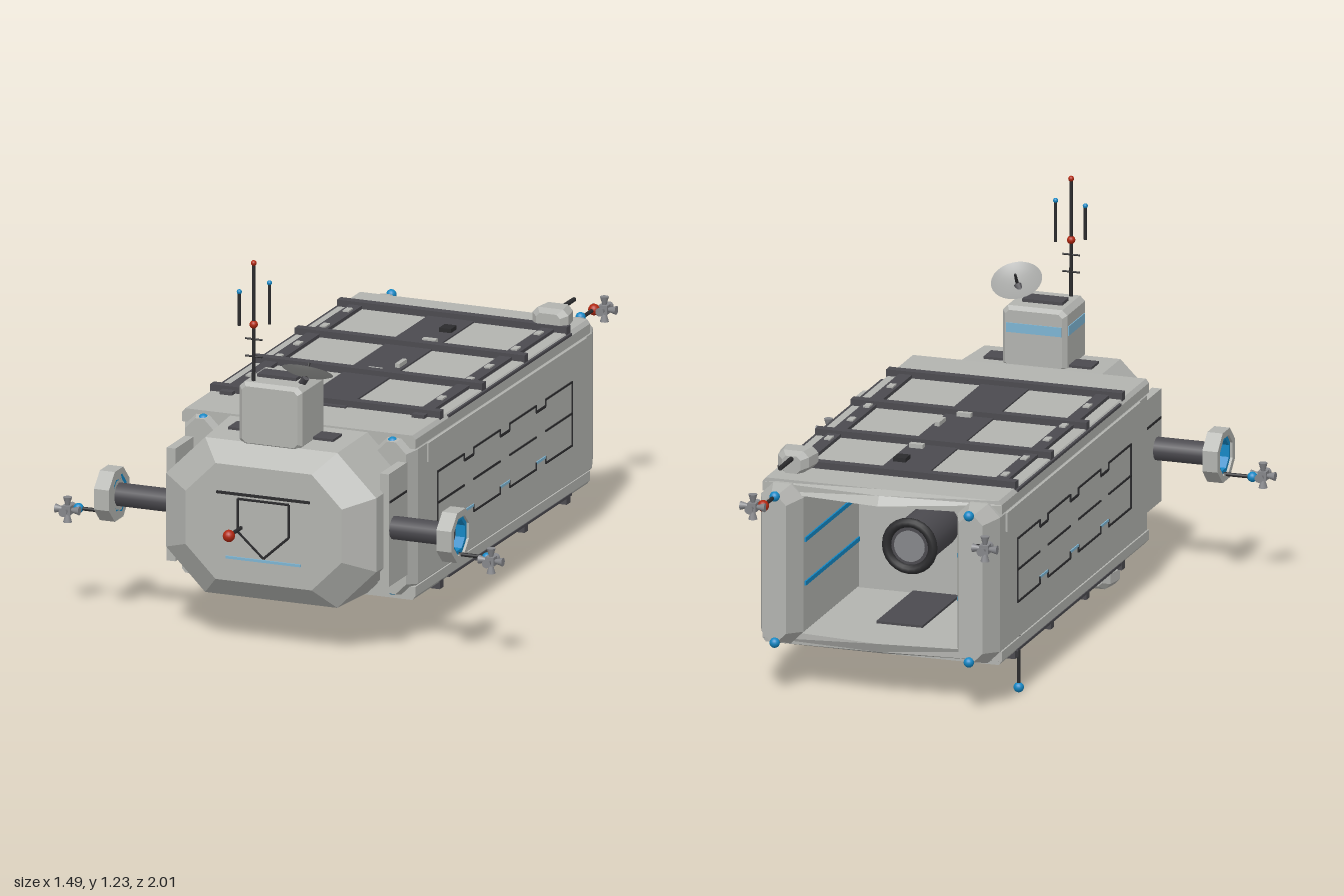
import * as THREE from 'three';

const mat = (name, color) => {
  const m = new THREE.MeshStandardMaterial({ color });
  m.name = name;
  return m;
};

// Joins planar rings of points; each ring runs anticlockwise seen from the first ring's end
function loft(rings) {
  const pos = [];
  const tri = (...p) => p.forEach(q => pos.push(...q));
  const n = rings[0].length;
  for (let k = 0; k < rings.length - 1; k++) {
    const a = rings[k], b = rings[k + 1];
    for (let i = 0; i < n; i++) {
      const j = (i + 1) % n;
      tri(a[i], b[i], a[j]);
      tri(a[j], b[i], b[j]);
    }
  }
  const last = rings[rings.length - 1];
  for (let i = 1; i < n - 1; i++) {
    tri(rings[0][0], rings[0][i], rings[0][i + 1]);
    tri(last[0], last[i + 1], last[i]);
  }
  const g = new THREE.BufferGeometry();
  g.setAttribute('position', new THREE.Float32BufferAttribute(pos, 3));
  g.computeVertexNormals();
  return g;
}

// Rectangle with cut corners, facing +z
const cutRect = (x0, x1, y0, y1, c, z) => [
  [x1, y0 + c], [x1, y1 - c], [x1 - c, y1], [x0 + c, y1],
  [x0, y1 - c], [x0, y0 + c], [x0 + c, y0], [x1 - c, y0]].map(p => [...p, z]);

export function createModel() {
  const root = new THREE.Group();
  root.name = 'cargoShuttle';
  const hull = mat('hullGrey', 0xb2b3af), dark = mat('darkGrey', 0x4b4a4f), line = mat('seamBlack', 0x2b2b2d);
  const blue = mat('signalBlue', 0x1487c4), pale = mat('paleBlue', 0x7db4d2), red = mat('signalRed', 0xb0260f);
  const steel = mat('steel', 0x85868a);

  const add = (name, geo, material, p = [0, 0, 0], parent = root) => {
    const m = new THREE.Mesh(geo, material);
    m.name = name;
    m.position.set(...p);
    parent.add(m);
    return m;
  };
  const box = (name, size, p, material, parent) => add(name, new THREE.BoxGeometry(...size), material, p, parent);
  const ball = (name, p, material, r = 0.016) => add(name, new THREE.SphereGeometry(r, 16, 12), material, p);
  const rod = (name, a, b, r0, material, r1 = r0, sides = 10, parent = root) => {
    const A = new THREE.Vector3(...a), d = new THREE.Vector3(...b).sub(A);
    const m = add(name, new THREE.CylinderGeometry(r1, r0, d.length(), sides), material, [0, 0, 0], parent);
    m.position.copy(A).addScaledVector(d, 0.5);
    m.quaternion.setFromUnitVectors(new THREE.Vector3(0, 1, 0), d.normalize());
    return m;
  };
  // Steering jets: a small core with flared nozzles on every side
  const jets = (p) => {
    const g = new THREE.Group();
    g.name = 'thrusterCluster';
    g.position.set(...p);
    root.add(g);
    box('jetCore', [0.028, 0.028, 0.028], [0, 0, 0], steel, g);
    for (const s of [-1, 1]) for (let k = 0; k < 3; k++) {
      const d = [0, 0, 0];
      d[k] = s;
      rod('nozzle', d.map(v => v * 0.012), d.map(v => v * 0.04), 0.006, steel, 0.014, 10, g);
    }
  };

  // Cabin with faceted nose
  add('cabin', loft([
    cutRect(-0.26, 0.26, 0.22, 0.59, 0.1, 0.885),
    cutRect(-0.35, 0.35, 0.155, 0.65, 0.13, 0.825),
    cutRect(-0.36, 0.36, 0.145, 0.66, 0.13, 0.58)]), hull);
  box('cabinRoofPanel', [0.35, 0.008, 0.07], [-0.005, 0.66, 0.705], dark);

  // Nose markings
  const nz = 0.887;
  box('noseSeam', [0.31, 0.008, 0.008], [0, 0.5, nz], line);
  box('noseStripe', [0.25, 0.008, 0.006], [0, 0.295, nz], pale);
  const shield = [[-0.085, 0.485], [0.085, 0.485], [0.085, 0.38], [0, 0.303], [-0.085, 0.38]];
  shield.forEach((a, i) => rod('noseOutline', [...a, nz], [...shield[(i + 1) % 5], nz], 0.004, line, 0.004, 4));
  rod('noseProbe', [-0.075, 0.393, 0.88], [-0.075, 0.393, 0.98], 0.006, line);
  ball('noseProbeTip', [-0.075, 0.393, 0.98], red, 0.019);

  // Roof and floor decks share one shape, the floor turned over
  for (const turn of [0, Math.PI]) {
    const deck = new THREE.Group();
    deck.name = turn ? 'floorDeck' : 'roofDeck';
    deck.position.y = 0.4025;
    deck.rotation.z = turn;
    root.add(deck);
    const outline = (y, x, peak) => [[x, 0.61], [x, -0.755], [0, peak], [-x, -0.755], [-x, 0.61]].map(q => [q[0], y, q[1]]);
    add('deckPlate', loft([outline(0.2625, 0.378, -0.756), outline(0.25, 0.388, -0.785), outline(0.22, 0.388, -0.8)]), hull, [0, 0, 0], deck);
    for (const z of [-0.6, -0.27, 0.06, 0.39]) box('deckRib', [0.765, 0.035, 0.03], [0, 0.266, z], dark, deck);
    for (const s of [-1, 1]) box('deckEdge', [0.008, 0.008, 0.96], [s * 0.386, 0.255, -0.13], dark, deck);
  }
  box('roofWalkway', [0.155, 0.008, 1.02], [-0.003, 0.666, -0.09], dark);
  for (const [x, z, w, d, m] of [[0.04, -0.46, 0.04, 0.045, line], [0.04, -0.32, 0.045, 0.02, hull],
    [0.055, -0.06, 0.015, 0.06, hull], [0.01, 0.05, 0.045, 0.045, hull]])
    box('roofFitting', [w, 0.018, d], [x, 0.674, z], m);

  for (const s of [-1, 1]) {
    box('roofRail', [0.042, 0.014, 1.03], [s * 0.32, 0.669, -0.085], dark);
    for (const z of [-0.52, -0.34, -0.13, 0.02, 0.24]) box('railFitting', [0.02, 0.012, 0.035], [s * 0.318, 0.675, z], hull);

    // Thick side wall tapering at the stern
    const [a, b] = s > 0 ? [0.25, 0.388] : [-0.388, -0.25];
    add('sideWall', loft([
      cutRect(a + 0.02, b - 0.02, 0.16, 0.645, 0.035, 0.635),
      cutRect(a, b, 0.148, 0.657, 0.04, 0.59),
      cutRect(a, b, 0.148, 0.657, 0.04, -0.77),
      cutRect(a + 0.03, b - 0.03, 0.17, 0.64, 0.03, -0.848)]), hull);
    const X = s * 0.388;
    box('upperSideBar', [0.012, 0.06, 1.24], [X, 0.588, -0.1], hull);
    // Side panel seams
    const seam = (h, w, y, z, m = line) => box('panelSeam', [0.007, h, w], [X, y, z], m);
    for (let k = 0; k < 4; k++) {
      const z = 0.335 - 0.281 * k;
      for (const y of [0.505, 0.405, 0.302]) seam(0.006, 0.208, y, z);
      if (k < 3) {
        seam(0.008, 0.073, 0.484, z - 0.1405);
        seam(0.008, 0.073, 0.322, z - 0.1405, pale);
        for (const e of [-0.037, 0.037]) for (const y of [0.495, 0.312]) seam(0.024, 0.006, y, z - 0.1405 + e);
      }
    }
    for (const z of [0.439, -0.612]) seam(0.208, 0.006, 0.4035, z);
    // Stripes inside the bay
    for (const y of [0.34, 0.48]) box('bayStripe', [0.008, 0.014, 0.5], [s * 0.249, y, -0.51], blue);

    // Cabin side plate and docking arm
    box('cabinSidePlate', [0.03, 0.36, 0.15], [s * 0.355, 0.405, 0.7], hull);
    box('cabinSideSeam', [0.006, 0.007, 0.13], [s * 0.37, 0.495, 0.705], line);
    rod('dockingArm', [s * 0.34, 0.405, 0.735], [s * 0.56, 0.405, 0.735], 0.037, dark, 0.037, 12);
    const ring = new THREE.Shape(), hole = new THREE.Path(), inner = new THREE.Shape(), core = new THREE.Path();
    const octagon = (path, r) => {
      for (let i = 0; i < 8; i++) {
        const t = (i + 0.5) * Math.PI / 4;
        path[i ? 'lineTo' : 'moveTo'](r * Math.cos(t), r * Math.sin(t));
      }
      path.closePath();
    };
    octagon(ring, 0.086);
    octagon(hole, 0.064);
    octagon(inner, 0.064);
    octagon(core, 0.05);
    ring.holes.push(hole);
    inner.holes.push(core);
    for (const [name, shape, depth, m] of [['dockingRing', ring, 0.05, hull], ['dockingRingLining', inner, 0.042, blue]]) {
      const r = add(name, new THREE.ExtrudeGeometry(shape, { depth, bevelEnabled: false }), m, [s * 0.545, 0.405, 0.735]);
      r.rotation.y = s * Math.PI / 2;
    }
    rod('dockingBase', [s * 0.545, 0.405, 0.735], [s * 0.555, 0.405, 0.735], 0.07, hull, 0.07, 8);
    rod('jetBoom', [s * 0.58, 0.345, 0.735], [s * 0.69, 0.345, 0.735], 0.006, line);
    ball('boomLight', [s * 0.68, 0.345, 0.735], blue);
    jets([s * 0.705, 0.345, 0.762]);

    // Corner lights
    for (const y of [0.638, 0.17]) {
      ball('bowLight', [s * 0.315, y, 0.615], blue, 0.018);
      ball('sternLight', [s * 0.315, y, -0.852], blue, 0.016);
    }
  }

  // Cargo bay bulkhead, docking tube and floor strip
  box('bulkhead', [0.56, 0.46, 0.03], [0, 0.4, -0.24], hull);
  rod('bayTube', [0, 0.41, -0.25], [0, 0.41, -0.5], 0.075, dark, 0.075, 24);
  add('bayTubeRim', new THREE.TorusGeometry(0.075, 0.015, 10, 24), line, [0, 0.41, -0.5]);
  add('bayHatch', new THREE.CircleGeometry(0.05, 24), steel, [0, 0.41, -0.503]).rotation.y = Math.PI;
  box('bayFloorStrip', [0.15, 0.008, 0.35], [0, 0.186, -0.42], dark);

  // Sensor tower
  add('sensorTower', loft([
    cutRect(-0.095, 0.09, 0.65, 0.83, 0.012, 0.832),
    cutRect(-0.107, 0.102, 0.64, 0.842, 0.016, 0.82),
    cutRect(-0.107, 0.102, 0.64, 0.842, 0.016, 0.655),
    cutRect(-0.095, 0.09, 0.65, 0.83, 0.012, 0.642)]), hull);
  box('towerStripeBack', [0.18, 0.03, 0.006], [-0.003, 0.775, 0.642], pale);
  box('towerStripeSide', [0.006, 0.03, 0.15], [-0.107, 0.775, 0.737], pale);
  box('towerTopPlate', [0.13, 0.014, 0.06], [-0.01, 0.845, 0.73], dark);

  // Antennas
  const mx = -0.067, mz = 0.805;
  rod('mast', [mx, 0.84, mz], [mx, 1.22, mz], 0.006, line, 0.005);
  ball('mastTip', [mx, 1.218, mz], red, 0.009);
  ball('mastBeacon', [mx, 1.022, mz], red, 0.013);
  for (const y of [0.92, 0.975]) rod('mastCrossbar', [mx - 0.028, y, mz], [mx + 0.028, y, mz], 0.003, line);
  for (const [x, z, top] of [[-0.105, 0.828, 1.128], [-0.026, 0.778, 1.152]]) {
    rod('whipAntenna', [x, 1.02, z], [x, top, z], 0.005, line);
    ball('whipTip', [x, top, z], blue, 0.008);
  }

  // Tilted dish
  const dish = new THREE.Group();
  dish.name = 'dish';
  dish.position.set(0.1, 0.868, 0.785);
  dish.rotation.x = -0.52;
  root.add(dish);
  const bowl = [[0.001, 0], [0.03, 0.002], [0.06, 0.009], [0.08, 0.018]].map(p => new THREE.Vector2(...p));
  const dishMat = mat('dishGrey', 0xa2a3a1);
  dishMat.side = THREE.DoubleSide;
  add('dishBowl', new THREE.LatheGeometry(bowl, 28), dishMat, [0, 0, 0], dish);
  rod('dishFeed', [0, 0, 0], [0, 0.045, 0], 0.006, line, 0.004, 8, dish);
  rod('dishStand', [0.07, 0.83, 0.76], [0.1, 0.868, 0.785], 0.012, dark);

  // Turrets above and below
  for (const [x, y, z, f] of [[0.318, 0.665, -0.64, 1], [-0.312, 0.137, 0.355, -1]]) {
    const t = new THREE.Group();
    t.name = 'turret';
    t.position.set(x, y, z);
    if (f < 0) t.rotation.z = Math.PI;
    root.add(t);
    add('turretBody', loft([
      cutRect(-0.04, 0.04, 0, 0.055, 0.012, 0.05),
      cutRect(-0.06, 0.06, 0, 0.068, 0.018, 0.03),
      cutRect(-0.05, 0.05, 0, 0.068, 0.018, -0.03),
      cutRect(-0.03, 0.03, 0, 0.055, 0.012, -0.05)]), hull, [0, 0, 0], t);
    rod('turretBarrel', [0, 0.046, -0.04], [0, 0.046, -0.155], 0.008, line, 0.007, 10, t);
  }

  // Stern jets and belly antenna
  rod('sternBoom', [0.317, 0.636, -0.84], [0.317, 0.636, -0.95], 0.006, line);
  ball('sternBeacon', [0.318, 0.636, -0.95], red, 0.018);
  jets([0.345, 0.636, -0.968]);
  rod('sternStrut', [-0.315, 0.545, -0.83], [-0.37, 0.545, -0.865], 0.006, line);
  jets([-0.372, 0.543, -0.865]);
  rod('bellyAntenna', [-0.38, 0.2, -0.575], [-0.38, 0.02, -0.575], 0.006, line);
  ball('bellyAntennaTip', [-0.38, 0.018, -0.575], blue);
  return root;
}
